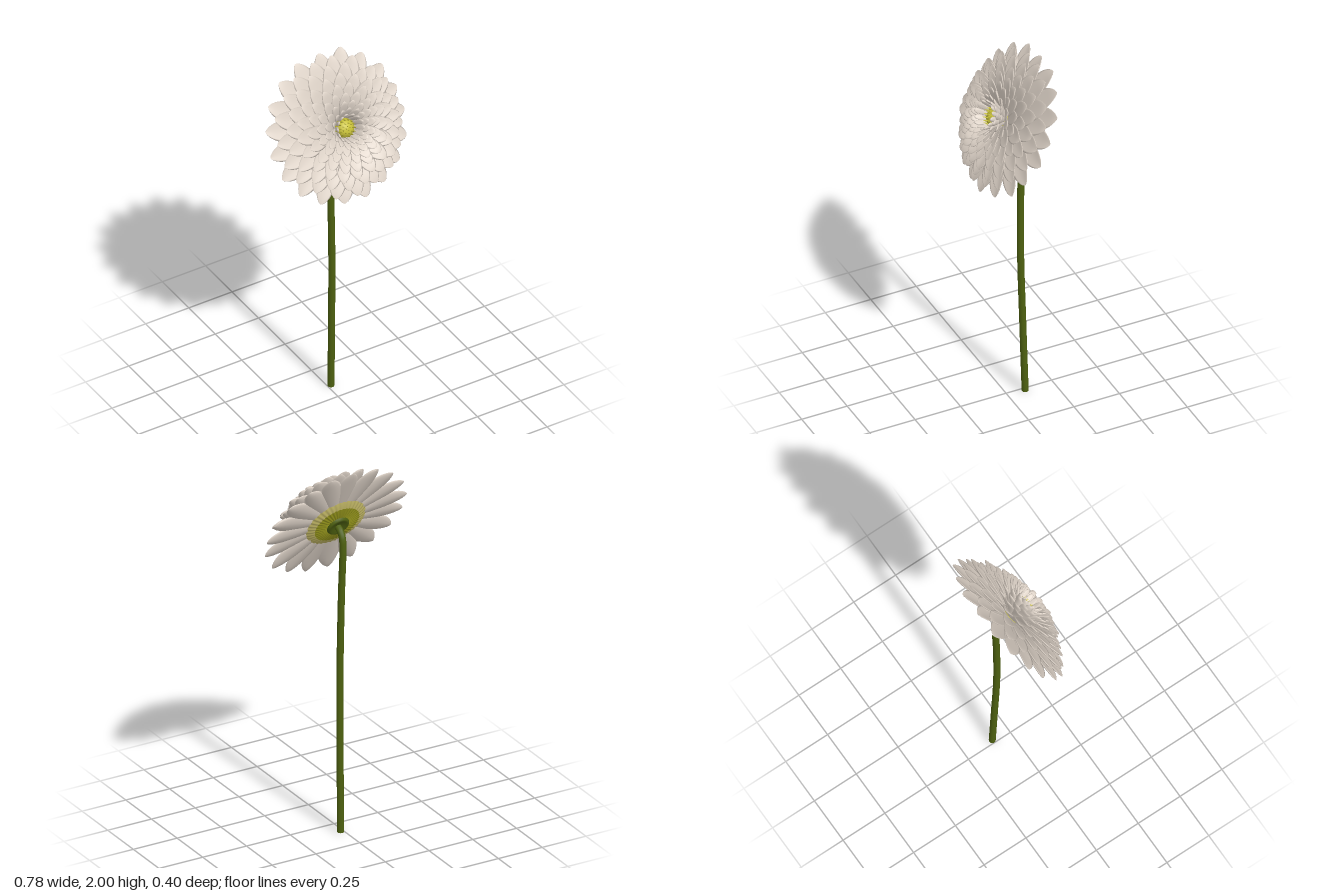
import * as THREE from 'three';
import { mergeGeometries } from 'three/addons/utils/BufferGeometryUtils.js';

const V2 = (x, y) => new THREE.Vector2(x, y);
const V3 = (x, y, z) => new THREE.Vector3(x, y, z);

function material(name, color, side = THREE.FrontSide) {
  const m = new THREE.MeshStandardMaterial({ color, side });
  m.name = name;
  return m;
}

function addMesh(parent, name, geometry, mat) {
  const mesh = new THREE.Mesh(geometry, mat);
  mesh.name = name;
  parent.add(mesh);
  return mesh;
}

// Small seeded generator for natural variation
let seed = 7;
function vary(amount) {
  seed = (seed * 16807) % 2147483647;
  return (seed / 2147483647 - 0.5) * 2 * amount;
}

// Half-width along a petal: narrow claw, broad blade, softly pointed tip
function petalWidth(u) {
  const peak = 0.68;
  if (u < peak) return 0.45 + 0.55 * THREE.MathUtils.smoothstep(u, 0, peak);
  const k = (u - peak) / (1 - peak);
  return Math.pow(Math.max(0, 1 - k * k), 0.62);
}

// Closed, cupped petal growing along +z, lofted from lens-shaped sections
function petalGeometry(base, bend, tip, width, thickness) {
  const curve = new THREE.QuadraticBezierCurve(base, bend, tip);
  const rows = 13, cols = 10, pos = [], index = [];
  for (let i = 0; i <= rows; i++) {
    const u = Math.sin((i / rows) * Math.PI / 2);
    const p = curve.getPoint(u), t = curve.getTangent(Math.min(u, 0.999));
    const w = petalWidth(u) * width;
    const th = thickness * Math.min(1, (w / width) * 1.5);
    for (let j = 0; j < cols; j++) {
      const a = (j / cols) * Math.PI * 2;
      const lift = th * Math.sin(a) + 0.24 * w * Math.cos(a) ** 2;
      pos.push(w * Math.cos(a), p.y + t.x * lift, p.x - t.y * lift);
      if (i === rows) continue;
      const k = (j + 1) % cols, r = i * cols, s = r + cols;
      index.push(r + j, r + k, s + k, r + j, s + k, s + j);
    }
  }
  const g = new THREE.BufferGeometry();
  g.setAttribute('position', new THREE.Float32BufferAttribute(pos, 3));
  g.setIndex(index);
  g.computeVertexNormals();
  return g;
}

function petalRing({ n, base, tip, width, half }) {
  const petals = [];
  for (let i = 0; i < n; i++) {
    const r = tip[0] * (1 + vary(0.02)), h = tip[1] + vary(0.006);
    const bend = V2(base[0] + (r - base[0]) * 0.45, base[1] + (h - base[1]) * 0.62);
    const g = petalGeometry(V2(...base), bend, V2(r, h), width * (1 + vary(0.06)), 0.0055);
    g.rotateY(Math.PI + ((i + half) / n) * Math.PI * 2 + vary(0.02));
    petals.push(g);
  }
  return mergeGeometries(petals);
}

// Lathe whose surface is grooved lengthwise
function flutedLathe(points, lobes, depth) {
  const g = new THREE.LatheGeometry(points.map(p => V2(...p)), 152);
  const p = g.attributes.position;
  for (let i = 0; i < p.count; i++) {
    const a = Math.atan2(p.getX(i), p.getZ(i));
    p.setY(i, p.getY(i) + depth * Math.cos(a * lobes));
  }
  g.computeVertexNormals();
  return g;
}

export function createModel() {
  const flower = new THREE.Group();
  flower.name = 'flower';
  const white = material('petal white', 0xded3c8);
  const yellow = material('centre yellow', 0xc9c23a, THREE.DoubleSide);
  const pale = material('pale yellow', 0xc6bb68, THREE.DoubleSide);
  const olive = material('olive green', 0x98981c, THREE.DoubleSide);
  const green = material('stem green', 0x4d6010, THREE.DoubleSide);

  // Head, tilted forward and up
  const head = new THREE.Group();
  head.name = 'flowerHead';
  head.position.set(0, 1.66, -0.015);
  head.rotation.x = THREE.MathUtils.degToRad(61.3);
  flower.add(head);

  // Petal rings from the flat outer rim to the upright heart
  const rings = [
    { n: 19, base: [0.05, 0.0], tip: [0.388, 0.0], width: 0.056 },
    { n: 19, base: [0.05, 0.01], tip: [0.355, 0.035], width: 0.052 },
    { n: 19, base: [0.05, 0.02], tip: [0.315, 0.07], width: 0.047 },
    { n: 19, base: [0.05, 0.03], tip: [0.27, 0.098], width: 0.042 },
    { n: 18, base: [0.05, 0.04], tip: [0.225, 0.122], width: 0.036 },
    { n: 17, base: [0.05, 0.05], tip: [0.182, 0.14], width: 0.03 },
    { n: 16, base: [0.05, 0.06], tip: [0.142, 0.153], width: 0.024 },
    { n: 15, base: [0.05, 0.07], tip: [0.105, 0.162], width: 0.018 },
    { n: 14, base: [0.05, 0.075], tip: [0.075, 0.162], width: 0.013 },
  ];
  rings.forEach((ring, i) =>
    addMesh(head, `petalRing${i + 1}`, petalRing({ ...ring, half: (i % 2) / 2 }), white));

  // Yellow heart with a ring of small pointed florets
  addMesh(head, 'heart', new THREE.LatheGeometry(
    [[0.05, -0.01], [0.05, 0.08], [0.043, 0.108], [0.025, 0.122], [0, 0.126]].map(p => V2(...p)), 32), yellow);
  const florets = [];
  for (const [n, r, top] of [[14, 0.042, 0.135], [9, 0.026, 0.139], [4, 0.01, 0.14]]) {
    for (let i = 0; i < n; i++) {
      const a = (i / n) * Math.PI * 2;
      const g = new THREE.ConeGeometry(0.007, 0.04, 6);
      g.translate(r * Math.sin(a), top - 0.02, r * Math.cos(a));
      florets.push(g);
    }
  }
  addMesh(head, 'florets', mergeGeometries(florets), yellow);

  // Grooved back of the head
  addMesh(head, 'backRim', flutedLathe([[0.122, -0.018], [0.145, -0.012], [0.163, -0.004]], 38, 0.002), pale);
  addMesh(head, 'backDisc', flutedLathe([[0.04, -0.026], [0.08, -0.025], [0.122, -0.018]], 38, 0.002), olive);
  addMesh(head, 'calyx', new THREE.LatheGeometry(
    [[0, -0.029], [0.03, -0.031], [0.046, -0.039], [0.057, -0.036], [0.062, -0.022]].map(p => V2(...p)), 32), green);

  // Stem, hooked at the top where it meets the head
  const path = new THREE.CatmullRomCurve3([
    V3(0.018, 0, -0.096), V3(0.015, 0.4, -0.085), V3(0.01, 0.85, -0.075), V3(0.004, 1.3, -0.08),
    V3(0, 1.54, -0.087), V3(0, 1.6, -0.081), V3(0, 1.632, -0.056), V3(0, 1.65, -0.015),
  ]);
  addMesh(flower, 'stem', new THREE.TubeGeometry(path, 90, 0.0175, 12), green);
  const cap = addMesh(flower, 'stemEnd', new THREE.CircleGeometry(0.0175, 12), green);
  cap.rotation.x = Math.PI / 2;
  cap.position.set(0.018, 0, -0.096);
  return flower;
}
